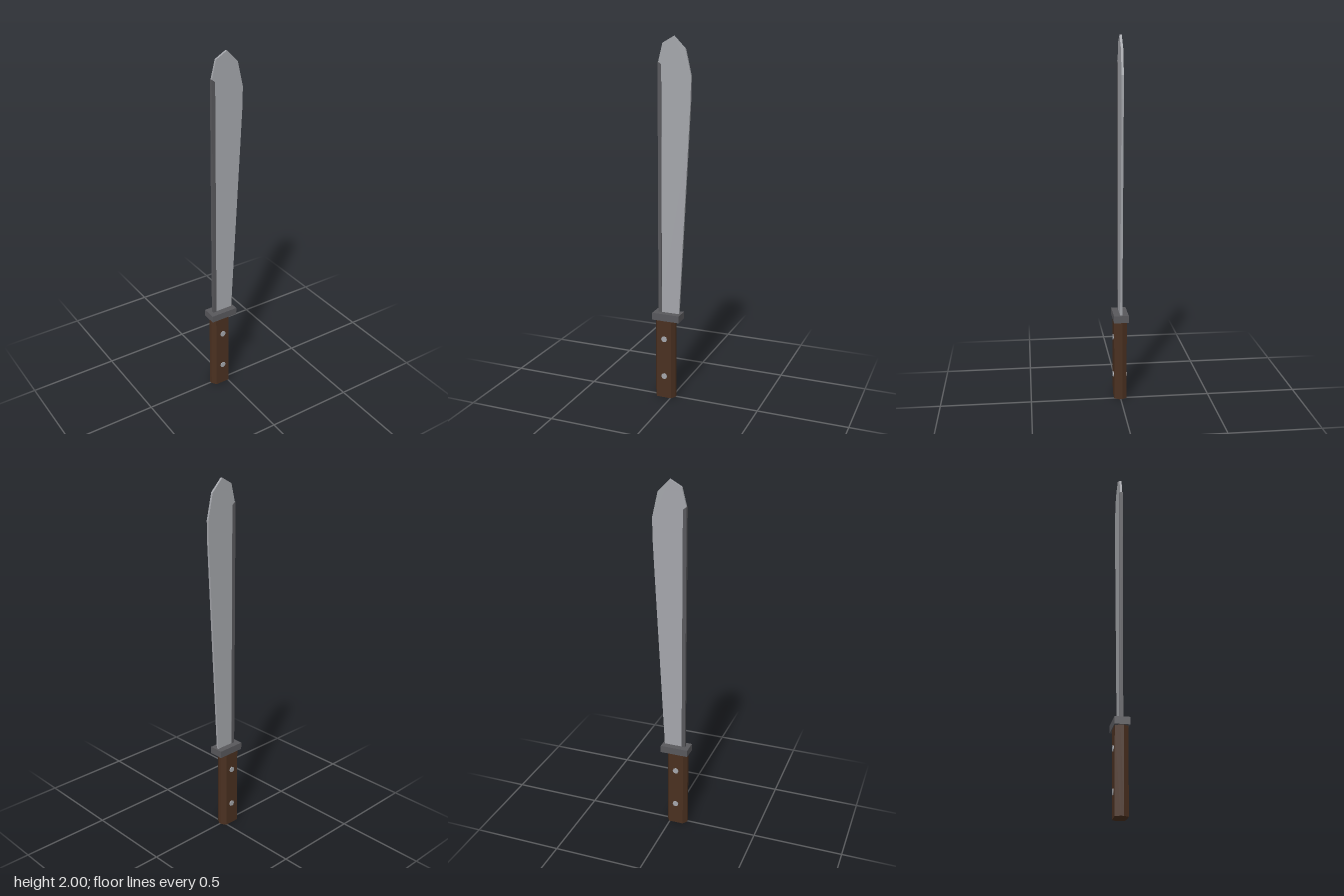
import * as THREE from 'three';

function material(name, color) {
  const m = new THREE.MeshStandardMaterial({ color });
  m.name = name;
  return m;
}

// Extrudes an [x, y] outline, centred on z = 0
function plate(points, depth) {
  const shape = new THREE.Shape(points.map(([x, y]) => new THREE.Vector2(x, y)));
  return new THREE.ExtrudeGeometry(shape, { depth, bevelEnabled: false }).translate(0, 0, -depth / 2);
}

export function createModel() {
  const steel = material('steel', 0xa4a6ab);
  const darkSteel = material('dark steel', 0x58585c);
  const wood = material('wood', 0x4a3020);

  const model = new THREE.Group();
  model.name = 'machete';
  const add = (name, geometry, mat) => {
    const mesh = new THREE.Mesh(geometry, mat);
    mesh.name = name;
    model.add(mesh);
    return mesh;
  };

  // Blade widening towards a faceted tip
  add('blade', plate([
    [-0.078, 0.48], [0.039, 0.48], [0.093, 1.5], [0.102, 1.68], [0.104, 1.8],
    [0.073, 1.935], [0.009, 2], [-0.054, 1.965], [-0.078, 1.87],
  ], 0.012), steel);

  // Thicker spine along the straight back, with a sloped top
  add('spine', plate([
    [-0.081, 0.48], [-0.061, 0.48], [-0.061, 1.855], [-0.081, 1.87],
  ], 0.017), darkSteel);

  // Guard
  add('guard', new THREE.BoxGeometry(0.158, 0.04, 0.081).translate(-0.027, 0.48, 0), darkSteel);

  // Handle: eight-sided section with deep chamfers, extruded upwards
  const section = [
    [-0.097, -0.009], [-0.08, -0.035], [0.004, -0.035], [0.021, -0.009],
    [0.021, 0.009], [0.004, 0.035], [-0.08, 0.035], [-0.097, 0.009],
  ];
  add('handle', plate(section, 0.462).rotateX(-Math.PI / 2).translate(0, 0.231, 0), wood);

  // Rivets passing through the handle
  for (const y of [0.13, 0.352]) {
    const rivet = add('rivet', new THREE.CylinderGeometry(0.017, 0.017, 0.078, 8).rotateX(Math.PI / 2), steel);
    rivet.position.set(-0.036, y, 0);
  }
  return model;
}
